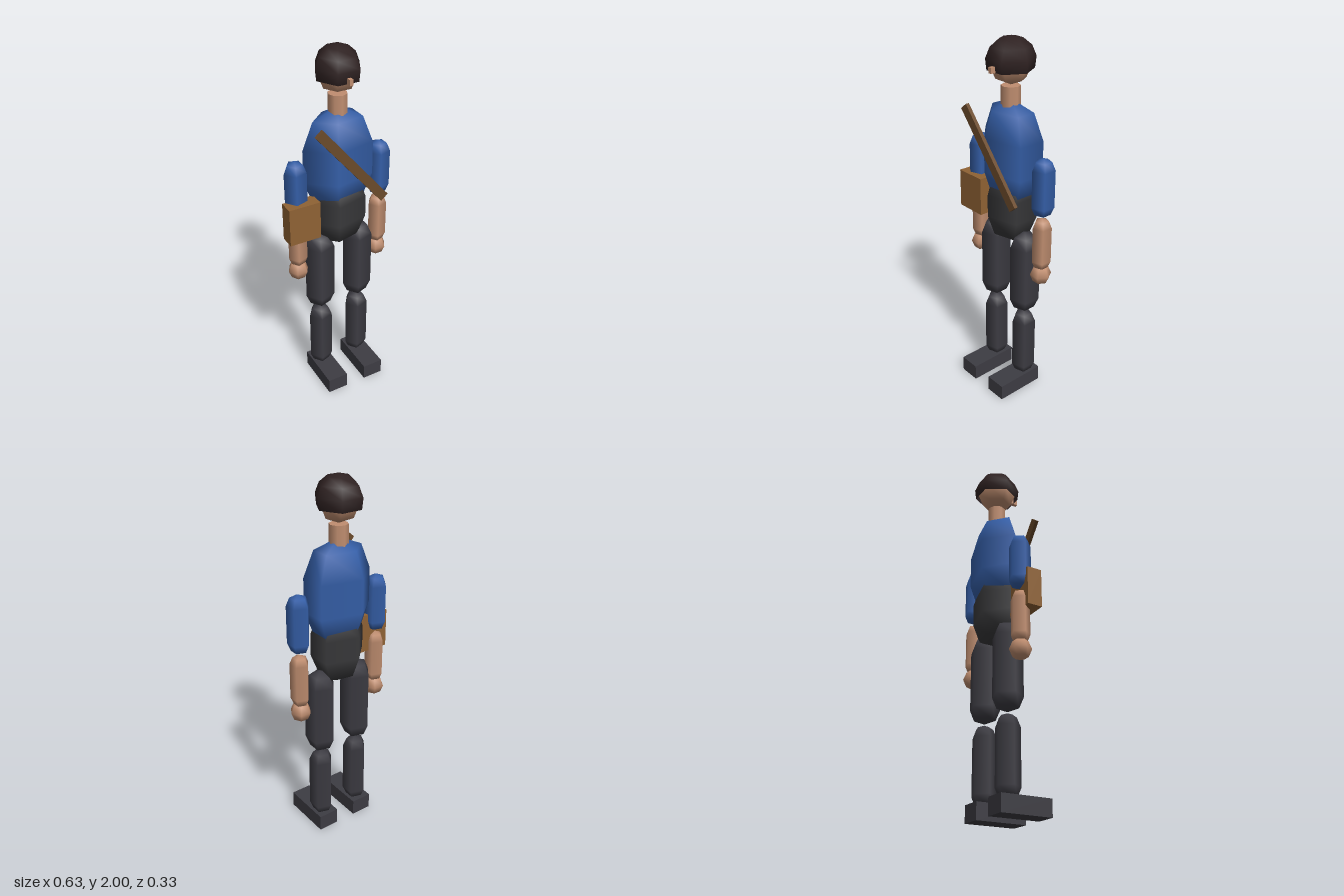
import * as THREE from 'three';

const CX = 0.008; // body centre line
const CZ = -0.045;

export function createModel() {
  const model = new THREE.Group();
  model.name = 'figure';

  const colour = (name, hex) => {
    const m = new THREE.MeshStandardMaterial({ color: hex });
    m.name = name;
    return m;
  };
  const skin = colour('skin', 0xc08e70);
  const shirt = colour('blueShirt', 0x355fa8);
  const trousers = colour('darkTrousers', 0x3d3c43);
  const hips = colour('charcoalHips', 0x39393b);
  const hairDark = colour('darkHair', 0x2e2121);
  const strapBrown = colour('strapLeather', 0x6b4a2a);
  const bagBrown = colour('bagLeather', 0x8f6234);
  hairDark.side = THREE.DoubleSide;

  // Places a mesh relative to the body axis
  const add = (name, geometry, material, x, y, z = 0) => {
    const mesh = new THREE.Mesh(geometry, material);
    mesh.name = name;
    mesh.position.set(CX + x, y, CZ + z);
    model.add(mesh);
    return mesh;
  };
  // Five-sided capsule used for the trunk and limbs
  const capsule = (r, length) => new THREE.CapsuleGeometry(r, length, 2, 5);

  // Trunk
  add('torso', capsule(0.2, 0.18), shirt, 0, 1.4).scale.z = 0.65;
  add('pelvis', capsule(0.16, 0.12), hips, 0, 1.116).scale.z = 0.75;

  // Head
  add('neck', new THREE.CylinderGeometry(0.05, 0.05, 0.13, 8), skin, 0, 1.693);
  add('head', new THREE.SphereGeometry(0.11, 6, 4), skin, 0, 1.87);
  const hair = new THREE.SphereGeometry(0.122, 6, 4, 0, Math.PI * 2, 0, Math.PI * 0.61);
  add('hair', hair, hairDark, 0, 1.878).scale.z = 1.07;
  add('nose', new THREE.BoxGeometry(0.02, 0.03, 0.05), skin, 0, 1.852, 0.109);

  // Arms and legs on both sides
  for (const [side, s] of [['left', 1], ['right', -1]]) {
    add(side + 'UpperArm', capsule(0.061, 0.2), shirt, s * 0.246, 1.287);
    add(side + 'Forearm', capsule(0.052, 0.196), skin, s * 0.246, 0.97);
    add(side + 'Hand', new THREE.SphereGeometry(0.058, 6, 4), skin, s * 0.246, 0.79);
    add(side + 'Thigh', capsule(0.084, 0.322), trousers, s * 0.118, 0.745);
    add(side + 'Shin', capsule(0.067, 0.295), trousers, s * 0.118, 0.28);
    add(side + 'Boot', new THREE.BoxGeometry(0.118, 0.09, 0.282), trousers, s * 0.118, 0.045, 0.07);
  }

  // Shoulder strap across the chest, and the bag at the right hip
  const strap = add('strap', new THREE.BoxGeometry(0.05, 0.58, 0.02), strapBrown, 0.005, 1.416, 0.146);
  strap.rotation.z = 0.7;
  add('bag', new THREE.BoxGeometry(0.176, 0.212, 0.083), bagBrown, -0.235, 1.119, 0.041);

  return model;
}
